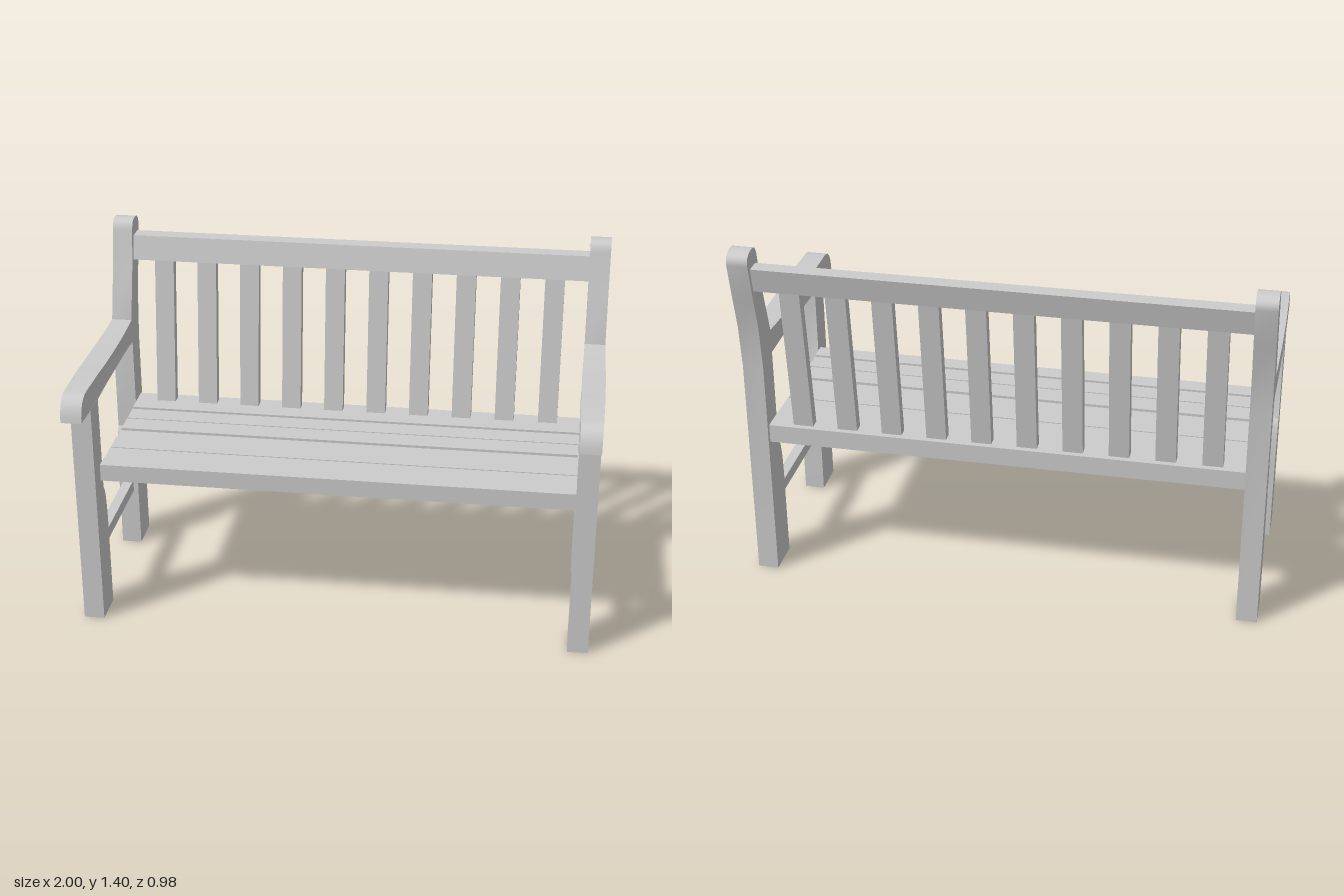
import * as THREE from 'three';
import { toCreasedNormals } from 'three/addons/utils/BufferGeometryUtils.js';

const material = new THREE.MeshStandardMaterial({ color: 0xcccccc });
const SIDE_X = 0.955; // centre of the leg frames
const SIDE_W = 0.08;
const SEAT_W = 1.83;

// Closed (z, y) side profile extruded across x, centred on x = 0
function profileGeometry(shape, width) {
  const geometry = new THREE.ExtrudeGeometry(shape, { depth: width, bevelEnabled: false, curveSegments: 8 });
  geometry.translate(0, 0, -width / 2);
  geometry.rotateY(-Math.PI / 2);
  return geometry;
}

const polygon = (points) => new THREE.Shape(points.map(([z, y]) => new THREE.Vector2(z, y)));

function addMesh(parent, name, geometry, x = 0) {
  const mesh = new THREE.Mesh(toCreasedNormals(geometry, 0.5), material);
  mesh.name = name;
  mesh.position.x = x;
  parent.add(mesh);
  return mesh;
}

// Box given by its z and y limits
function board(width, z0, z1, y0, y1) {
  return new THREE.BoxGeometry(width, y1 - y0, z1 - z0).translate(0, (y0 + y1) / 2, (z0 + z1) / 2);
}

function frontLegShape() {
  const s = new THREE.Shape();
  s.moveTo(0.365, 0);
  s.lineTo(0.365, 0.915);
  s.lineTo(0.258, 0.915);
  s.lineTo(0.258, 0.53);
  s.bezierCurveTo(0.235, 0.515, 0.226, 0.45, 0.223, 0.35);
  s.lineTo(0.223, 0);
  return s;
}

function backPostShape() {
  const s = new THREE.Shape();
  s.moveTo(-0.405, 0);
  s.lineTo(-0.26, 0);
  s.lineTo(-0.26, 0.35);
  s.bezierCurveTo(-0.262, 0.45, -0.272, 0.515, -0.297, 0.53);
  s.lineTo(-0.297, 1.01);
  s.lineTo(-0.358, 1.22);
  s.lineTo(-0.385, 1.36);
  s.bezierCurveTo(-0.39, 1.39, -0.405, 1.405, -0.435, 1.403);
  s.bezierCurveTo(-0.475, 1.403, -0.495, 1.385, -0.49, 1.355);
  s.lineTo(-0.455, 1.2);
  s.lineTo(-0.425, 1.08);
  s.lineTo(-0.405, 0.9);
  return s;
}

// Dipped armrest with a rounded nose, slightly wider in the middle
function armGeometry() {
  const s = new THREE.Shape();
  s.moveTo(0.493, 0.915);
  s.bezierCurveTo(0.487, 0.98, 0.46, 1.008, 0.41, 1.01);
  s.lineTo(0.25, 1.01);
  s.bezierCurveTo(0.12, 1.003, -0.17, 0.997, -0.297, 1.01);
  s.lineTo(-0.297, 0.915);
  s.bezierCurveTo(-0.15, 0.928, 0.1, 0.928, 0.26, 0.915);
  const geometry = profileGeometry(s, SIDE_W);
  const p = geometry.attributes.position;
  for (let i = 0; i < p.count; i++) {
    const t = THREE.MathUtils.clamp((p.getZ(i) + 0.297) / 0.79, 0, 1);
    p.setX(i, p.getX(i) * (1 + 0.12 * Math.sin(Math.PI * t)));
  }
  geometry.computeVertexNormals();
  return geometry;
}

export function createModel() {
  const bench = new THREE.Group();
  bench.name = 'gardenBench';

  // Leg frames with armrests, one at each end
  for (const side of [1, -1]) {
    const frame = new THREE.Group();
    frame.name = side > 0 ? 'leftFrame' : 'rightFrame';
    frame.position.x = side * SIDE_X;
    addMesh(frame, 'frontLeg', profileGeometry(frontLegShape(), SIDE_W));
    addMesh(frame, 'backPost', profileGeometry(backPostShape(), SIDE_W));
    addMesh(frame, 'armrest', armGeometry());
    addMesh(frame, 'stretcher', board(0.04, -0.26, 0.223, 0.247, 0.295));
    bench.add(frame);
  }

  // Seat base, rear rail and boards: [back z, front z, top y]
  const seat = new THREE.Group();
  seat.name = 'seat';
  addMesh(seat, 'seatBase', board(SEAT_W, -0.33, 0.29, 0.577, 0.606));
  addMesh(seat, 'rearRail', board(SEAT_W, -0.387, -0.33, 0.572, 0.606));
  const boards = [
    [0.217, 0.29, 0.645], [0.127, 0.211, 0.64], [0.029, 0.121, 0.64], [-0.045, 0.021, 0.634],
    [-0.145, -0.053, 0.64], [-0.238, -0.151, 0.64], [-0.387, -0.245, 0.645],
  ];
  for (const [z0, z1, top] of boards) addMesh(seat, 'seatBoard', board(SEAT_W, z0, z1, 0.606, top));
  bench.add(seat);

  // Leaning backrest: top rail and upright slats
  const back = new THREE.Group();
  back.name = 'backrest';
  addMesh(back, 'topRail', profileGeometry(
    polygon([[-0.383, 1.24], [-0.405, 1.336], [-0.467, 1.336], [-0.447, 1.24]]), SEAT_W));
  const slat = profileGeometry(
    polygon([[-0.322, 0.64], [-0.395, 1.25], [-0.435, 1.25], [-0.364, 0.64]]), 0.077);
  for (let i = 0; i < 10; i++) addMesh(back, 'backSlat', slat, (i - 4.5) * 0.175 - 0.003);
  bench.add(back);

  // The profiles are drawn either way round; thin gaps stay closed from all sides
  return bench;
}
